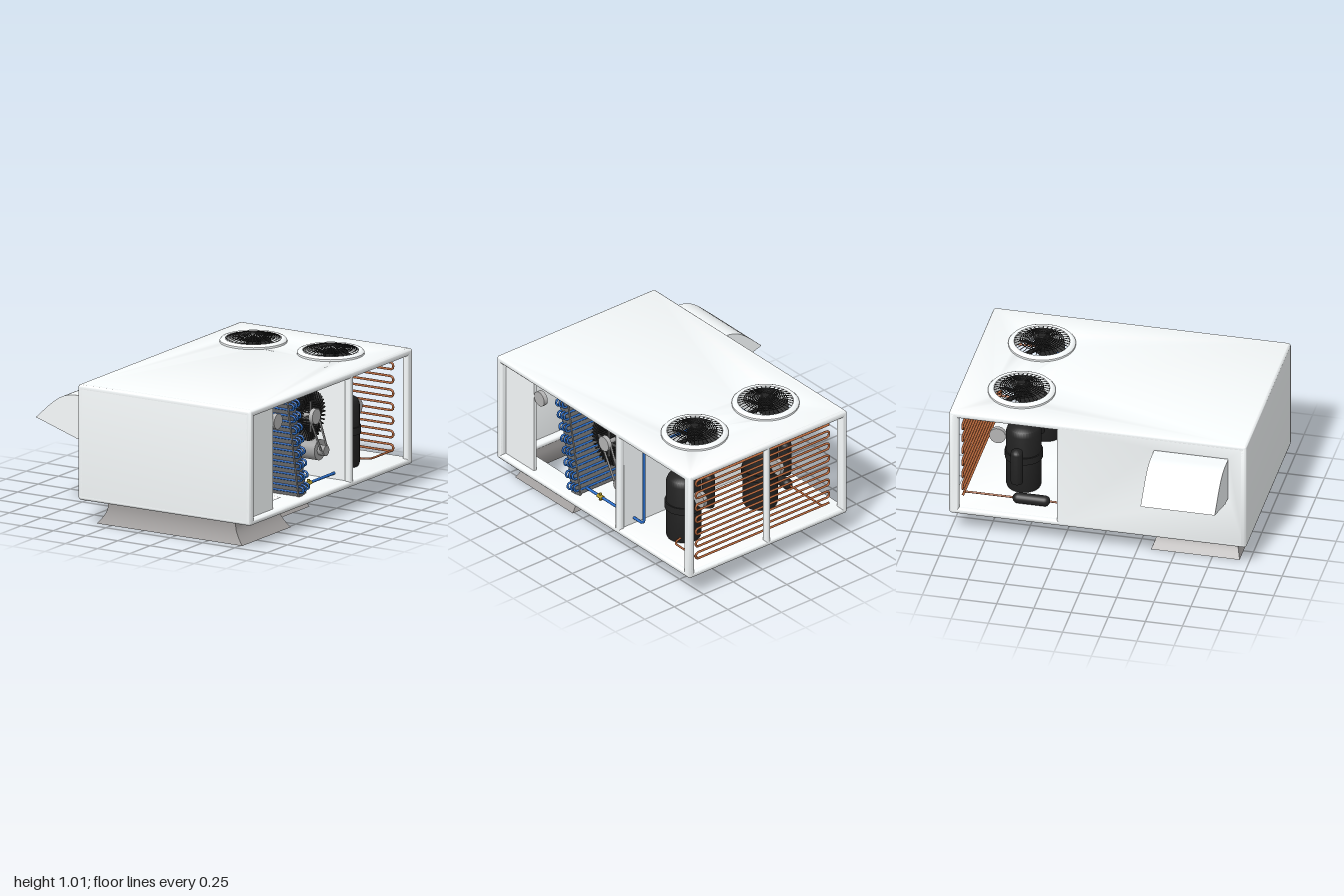
import * as THREE from 'three';
import { toCreasedNormals } from 'three/addons/utils/BufferGeometryUtils.js';

const mat = (color, side = THREE.FrontSide) => new THREE.MeshStandardMaterial({ color, side });
const white = mat(0xf8fcfd), whiteSheet = mat(0xf8fcfd, THREE.DoubleSide), duct = mat(0xa29f9e, THREE.DoubleSide);
const black = mat(0x222222), blue = mat(0x2a6fcc), copper = mat(0xb8683c);
const brass = mat(0xb8a030), steel = mat(0xa0a0a0), fins = mat(0x707070), disc = mat(0xb4b4b4);
const V = (x, y, z) => new THREE.Vector3(x, y, z);

export function createModel() {
  const root = new THREE.Group();
  const add = (name, geo, m, x = 0, y = 0, z = 0, parent = root) => {
    const mesh = new THREE.Mesh(geo, m);
    mesh.name = name;
    mesh.position.set(x, y, z);
    parent.add(mesh);
    return mesh;
  };
  const group = (name, x = 0, y = 0, z = 0) => {
    const g = new THREE.Group();
    g.name = name;
    g.position.set(x, y, z);
    root.add(g);
    return g;
  };
  const box = (name, w, h, d, m, x, y, z, parent) => add(name, new THREE.BoxGeometry(w, h, d), m, x, y, z, parent);
  // Cylinder lying along x
  const rod = (name, r, len, m, x, y, z, parent) =>
    add(name, new THREE.CylinderGeometry(r, r, len, 32).rotateZ(Math.PI / 2), m, x, y, z, parent);

  // Plate with rounded edges and corners; holes are [u0,u1,v0,v1] rectangles or [u,v,r] circles
  const plate = (u0, u1, v0, v1, t, holes = []) => {
    const b = 0.016, r = 0.004, o = b + r;
    const s = new THREE.Shape();
    s.absarc(u1 - o, v1 - o, r, 0, Math.PI / 2);
    s.absarc(u0 + o, v1 - o, r, Math.PI / 2, Math.PI);
    s.absarc(u0 + o, v0 + o, r, Math.PI, Math.PI * 1.5);
    s.absarc(u1 - o, v0 + o, r, Math.PI * 1.5, Math.PI * 2);
    for (const [a, c, d, e] of holes) {
      s.holes.push(e === undefined
        ? new THREE.Path().absarc(a, c, d + b, 0, Math.PI * 2, true)
        : new THREE.Path([[a - b, d - b], [c + b, d - b], [c + b, e + b], [a - b, e + b]]
          .map(p => new THREE.Vector2(...p))));
    }
    const g = new THREE.ExtrudeGeometry(s, {
      depth: t - 2 * b, bevelSize: b, bevelThickness: b, bevelSegments: 4, curveSegments: 20 });
    return toCreasedNormals(g.translate(0, 0, b), 0.6);
  };

  // Pipe with rounded corners
  const pipe = (name, pts, r, m, bend = 0.04, parent = root) => {
    const path = new THREE.CurvePath();
    let from = pts[0];
    for (let i = 1; i < pts.length; i++) {
      const p = pts[i], next = pts[i + 1];
      if (!next) { path.add(new THREE.LineCurve3(from, p)); break; }
      const k = Math.min(bend, p.distanceTo(pts[i - 1]) * 0.49, p.distanceTo(next) * 0.49);
      const a = p.clone().lerp(pts[i - 1], k / p.distanceTo(pts[i - 1]));
      const c = p.clone().lerp(next, k / p.distanceTo(next));
      path.add(new THREE.LineCurve3(from, a));
      path.add(new THREE.QuadraticBezierCurve3(a, p, c));
      from = c;
    }
    const n = Math.ceil(path.getLength() / 0.014);
    path.arcLengthDivisions = n * 2;
    return add(name, new THREE.TubeGeometry(path, n, r, 7), m, 0, 0, 0, parent);
  };
  const serpentine = (x0, x1, y0, y1, z, rows) => {
    const pts = [];
    for (let i = 0; i < rows; i++) {
      const y = y0 + (y1 - y0) * i / (rows - 1);
      const ends = [V(x0, y, z), V(x1, y, z)];
      pts.push(...(i % 2 ? ends.reverse() : ends));
    }
    return pts;
  };

  // Cabinet
  const fanX = [-0.11, 0.49], fanZ = -0.59;
  add('roof', plate(-0.47, 0.87, -1, 1, 0.045, fanX.map(x => [x, -fanZ, 0.18])).rotateX(-Math.PI / 2), white, 0, 0.895, 0);
  add('floor', plate(-0.47, 0.87, -1, 1, 0.04,
    [[-0.29, 0.69, -0.9, -0.37], [-0.11, 0.51, -0.15, 0.16]]).rotateX(-Math.PI / 2), white, 0, 0.16, 0);
  add('frontWall', plate(-0.47, 0.87, 0.16, 0.94, 0.05), white, 0, 0, 0.95);
  add('backFrame', plate(-0.47, 0.87, 0.16, 0.94, 0.045,
    [[-0.425, 0.18, 0.2, 0.9], [0.22, 0.825, 0.2, 0.9]]), white, 0, 0, -1);
  const condenserWindow = [-0.935, -0.275, 0.2, 0.9];
  add('rightFrame', plate(-1, 1, 0.16, 0.94, 0.045,
    [condenserWindow, [-0.225, 0.95, 0.2, 0.9]]).rotateY(-Math.PI / 2), white, 0.87, 0, 0);
  add('leftWall', plate(-1, 1, 0.16, 0.94, 0.045,
    [condenserWindow, [0.39, 0.87, 0.54, 0.825]]).rotateY(-Math.PI / 2), white, -0.425, 0, 0);
  box('partition', 1.27, 0.72, 0.03, white, 0.2, 0.55, -0.25);
  box('filterPanel', 0.02, 0.72, 0.3, white, 0.82, 0.55, 0.81);

  // Flared duct skirts under the floor
  const skirt = (name, z, hx, hz, fx, fz) => {
    const g = new THREE.CylinderGeometry(1, 1, 1, 4, 10, true, Math.PI / 4);
    const p = g.attributes.position;
    for (let i = 0; i < p.count; i++) {
      const t = 0.5 - p.getY(i), f = Math.max(0, (t - 0.3) / 0.7) ** 1.7;
      p.setXYZ(i, Math.sign(p.getX(i)) * (hx + fx * f), 0.17 * (1 - t), Math.sign(p.getZ(i)) * (hz + fz * f));
    }
    add(name, toCreasedNormals(g, 0.7), duct, 0.2, 0, z);
  };
  skirt('returnSkirt', 0.635, 0.495, 0.268, 0.07, 0.03);
  skirt('supplySkirt', -0.005, 0.315, 0.158, 0.06, 0.035);

  // Fresh air hood, open along its sloping mouth
  const hood = group('airHood');
  const arch = new THREE.CurvePath();
  arch.add(new THREE.LineCurve(new THREE.Vector2(-0.46, 0.83), new THREE.Vector2(-0.57, 0.83)));
  arch.add(new THREE.CubicBezierCurve(...[[-0.57, 0.83], [-0.69, 0.825], [-0.75, 0.75], [-0.87, 0.64]]
    .map(p => new THREE.Vector2(...p))));
  const cover = new THREE.PlaneGeometry(1, 1, 28, 1), cp = cover.attributes.position;
  for (let i = 0; i < cp.count; i++) {
    const q = arch.getPoint(Math.min(1, cp.getX(i) + 0.5));
    cp.setXYZ(i, q.x, q.y, 0.63 - cp.getY(i) * 0.5);
  }
  cover.computeVertexNormals();
  add('hoodCover', cover, whiteSheet, 0, 0, 0, hood);
  const cheek = new THREE.Shape([...arch.getSpacedPoints(28),
    new THREE.Vector2(-0.56, 0.54), new THREE.Vector2(-0.46, 0.54)]);
  for (const z of [0.38, 0.88]) add('hoodCheek', new THREE.ShapeGeometry(cheek), whiteSheet, 0, 0, z, hood);
  box('hoodSill', 0.1, 0.008, 0.5, white, -0.51, 0.54, 0.63, hood);
  rod('damperMotor', 0.052, 0.03, disc, 0.82, 0.78, 0.6);

  // Roof fans with domed wire guards
  const ringProfile = [[0.18, 0.88], [0.2, 0.88], [0.2, 0.94], [0.222, 0.94], [0.222, 0.953], [0.212, 0.964],
    [0.198, 0.969], [0.184, 0.965], [0.18, 0.953], [0.18, 0.88]].map(p => new THREE.Vector2(...p));
  for (const x of fanX) {
    const fan = group('roofFan', x, 0, fanZ);
    add('fanRing', toCreasedNormals(new THREE.LatheGeometry(ringProfile, 56), 0.7), white, 0, 0, 0, fan);
    const guardY = r => 1.01 - 0.25 * r;
    for (let i = 0; i < 36; i++) {
      const spoke = new THREE.CylinderGeometry(0.0025, 0.0025, 0.165, 5)
        .rotateZ(Math.PI / 2 - Math.atan(0.25)).translate(0.105, guardY(0.105), 0).rotateY(i * Math.PI / 18);
      add('guardSpoke', spoke, black, 0, 0, 0, fan);
    }
    for (let r = 0.03; r < 0.145; r += 0.014)
      add('guardRing', new THREE.TorusGeometry(r, 0.0028, 5, 40).rotateX(Math.PI / 2), black, 0, guardY(r), 0, fan);
    add('guardCap', new THREE.CylinderGeometry(0.025, 0.03, 0.008, 24), black, 0, 1.004, 0, fan);
    add('fanHub', new THREE.CylinderGeometry(0.05, 0.05, 0.07, 24), black, 0, 0.925, 0, fan);
    for (let i = 0; i < 5; i++) {
      const blade = new THREE.BoxGeometry(0.11, 0.006, 0.1).rotateX(0.45)
        .translate(0.095, 0.92, 0).rotateY(i * Math.PI * 0.4);
      add('fanBlade', blade, black, 0, 0, 0, fan);
    }
  }

  // Tilted evaporator coil
  const coil = group('evaporatorCoil', 0.2, 0.55, 0.325);
  coil.rotation.x = 0.2;
  box('coilFins', 1.2, 0.7, 0.07, fins, 0, 0, 0, coil);
  for (const x of [-0.6, 0.6]) box('coilEndPlate', 0.012, 0.71, 0.088, fins, x, 0, 0, coil);
  for (const z of [-0.034, 0, 0.034])
    pipe('coilTube', serpentine(-0.64, 0.64, -0.32, 0.32, z, 16), 0.0075, blue, 0.03, coil);

  // Blower wheel with belt drive
  const blower = group('blower', 0, 0.68, 0.02);
  for (let i = 0; i < 36; i++)
    add('blowerBlade', new THREE.BoxGeometry(1.06, 0.06, 0.009).translate(0, 0.136, 0).rotateX(i * Math.PI / 18),
      black, 0.2, 0, 0, blower);
  for (const x of [-0.32, 0.2, 0.72]) {
    add('wheelRing', new THREE.TorusGeometry(0.118, 0.007, 6, 48).rotateY(Math.PI / 2), black, x, 0, 0, blower);
    box('wheelArm', 0.01, 0.24, 0.012, fins, x, 0, 0, blower);
    box('wheelArm', 0.01, 0.012, 0.24, fins, x, 0, 0, blower);
  }
  rod('wheelShaft', 0.016, 1.08, steel, 0.2, 0, 0, blower);
  rod('wheelHub', 0.052, 0.03, disc, 0.75, 0, 0, blower);
  rod('blowerMotor', 0.07, 0.3, steel, 0.56, 0.42, -0.11);
  rod('motorPulley', 0.035, 0.05, steel, 0.735, 0.42, -0.11);
  for (const s of [-1, 1]) {
    const belt = box('driveBelt', 0.014, 0.29, 0.006, steel, 0.745, 0.55 - s * 0.017, -0.045 + s * 0.036);
    belt.rotation.x = Math.atan2(0.13, 0.26) + s * 0.05;
  }

  // Compressors with accumulators and their pipes
  const domed = (r, h, d) => new THREE.LatheGeometry([[0, 0], [r * 0.94, 0], [r, 0.02], [r, h - d],
    [r * 0.9, h - d * 0.45], [r * 0.6, h - d * 0.1], [0, h]].map(p => new THREE.Vector2(...p)), 36);
  for (const x of [-0.07, 0.58]) {
    const c = group('compressor', x, 0.2, -0.585);
    add('compressorShell', toCreasedNormals(domed(0.117, 0.475, 0.06), 0.7), black, 0, 0, 0, c);
    add('compressorBand', new THREE.CylinderGeometry(0.126, 0.126, 0.05, 36), black, 0, 0.245, 0, c);
    add('accumulator', toCreasedNormals(domed(0.042, 0.25, 0.03), 0.7), black, -0.21, 0.14, 0, c);
    box('accumulatorBracket', 0.09, 0.03, 0.02, black, -0.14, 0.24, 0, c);
    rod('motorDisc', 0.055, 0.03, disc, 0, 0.355, -0.175, c);
    box('discBracket', 0.02, 0.02, 0.08, steel, 0, 0.355, -0.13, c);
    pipe('dischargePipe', [V(x + 0.03, 0.65, -0.59), V(x + 0.03, 0.84, -0.59), V(x + 0.03, 0.84, -0.93)], 0.007, copper);
    pipe('suctionBranch', [V(0.74, 0.82, -0.37), V(x, 0.82, -0.37), V(x, 0.82, -0.58), V(x, 0.66, -0.58)], 0.009, blue);
  }
  pipe('suctionLine', [V(0.74, 0.24, 0.24), V(0.74, 0.24, -0.37), V(0.74, 0.82, -0.37), V(0.6, 0.82, -0.37)], 0.01, blue);
  add('valve', new THREE.CylinderGeometry(0.016, 0.016, 0.05, 6).rotateX(Math.PI / 2), brass, 0.74, 0.24, 0.08);
  add('valveStem', new THREE.CylinderGeometry(0.009, 0.009, 0.05, 12), brass, 0.74, 0.24, 0.08);
  pipe('liquidLine', [V(-0.31, 0.24, -0.3), V(-0.31, 0.24, 0.24)], 0.009, blue);

  // Filter drier
  add('filterDrier', new THREE.CapsuleGeometry(0.036, 0.18, 6, 24).rotateX(Math.PI / 2), black, -0.31, 0.24, -0.48);
  pipe('drierPipe', [V(-0.31, 0.24, -0.29), V(-0.31, 0.24, -0.93), V(-0.36, 0.24, -0.93)], 0.007, copper);
  pipe('drainPipe', [V(0.74, 0.24, -0.93), V(0.74, 0.24, -0.68), V(0.6, 0.24, -0.64)], 0.007, copper);

  // Condenser coil across the back
  pipe('condenserCoil', serpentine(-0.37, 0.76, 0.24, 0.84, -0.93, 14), 0.008, copper, 0.04);
  return root;
}
